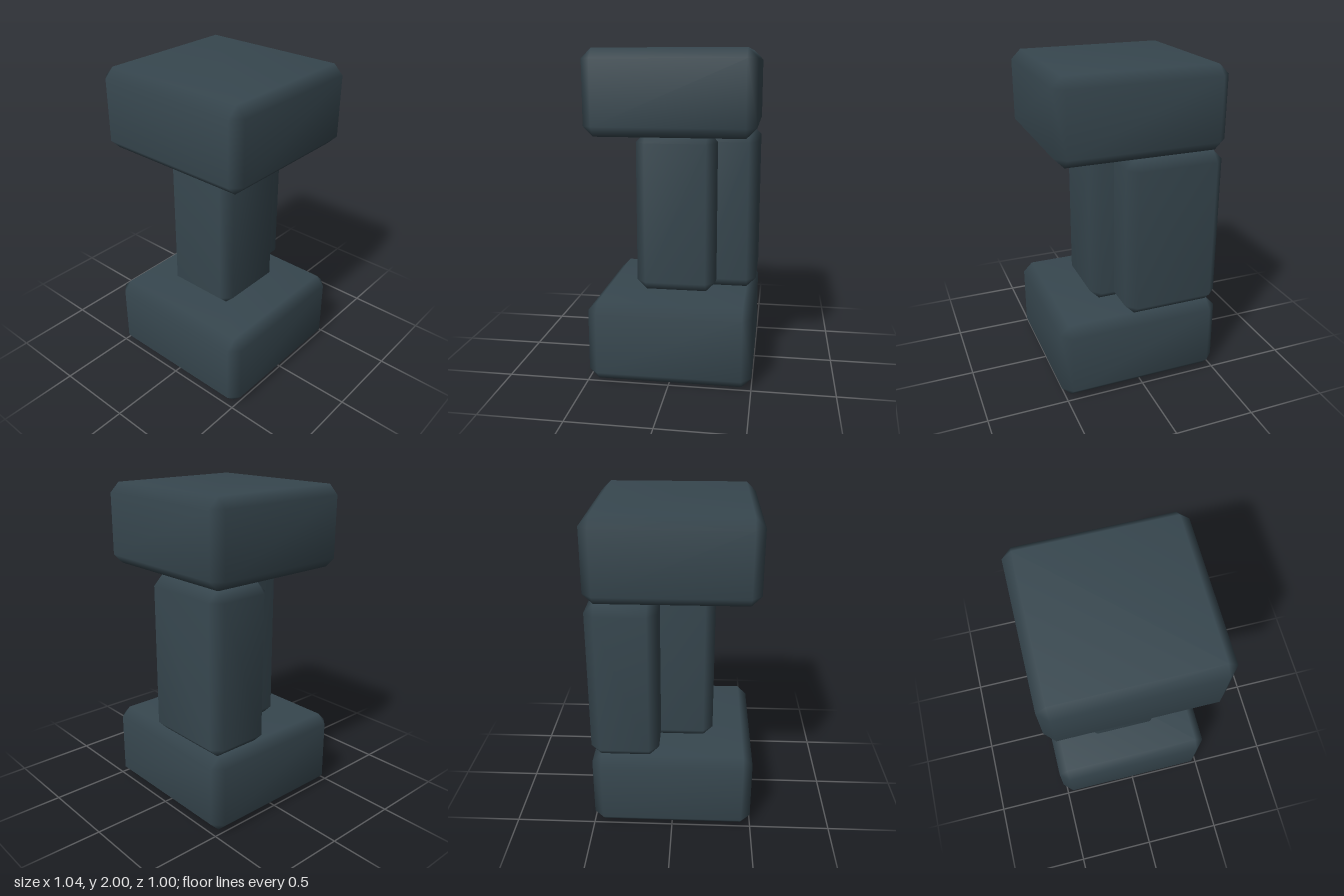
import * as THREE from 'three';
import { ConvexGeometry } from 'three/addons/geometries/ConvexGeometry.js';
import { mergeVertices } from 'three/addons/utils/BufferGeometryUtils.js';

const BEVEL = 0.06;

// Box with chamfered edges and softly blended normals
function bevelledBox(w, h, d) {
  const half = [w / 2, h / 2, d / 2];
  const points = [];
  for (const sx of [-1, 1]) for (const sy of [-1, 1]) for (const sz of [-1, 1]) {
    for (let outer = 0; outer < 3; outer++) {
      const p = half.map((v, i) => (i === outer ? v : v - BEVEL));
      points.push(new THREE.Vector3(p[0] * sx, p[1] * sy, p[2] * sz));
    }
  }
  const hull = new ConvexGeometry(points);
  hull.deleteAttribute('normal');
  const geometry = mergeVertices(hull, 1e-4);
  geometry.computeVertexNormals();
  return geometry;
}

export function createModel() {
  const group = new THREE.Group();
  const stone = new THREE.MeshStandardMaterial({ color: 0x37474f });
  stone.name = 'slateStone';

  // Adds a block from its lower and upper corners
  function addBlock(name, [x0, y0, z0], [x1, y1, z1]) {
    const mesh = new THREE.Mesh(bevelledBox(x1 - x0, y1 - y0, z1 - z0), stone);
    mesh.name = name;
    mesh.position.set((x0 + x1) / 2, (y0 + y1) / 2, (z0 + z1) / 2);
    group.add(mesh);
  }

  // Wide slabs at the foot and head
  addBlock('baseSlab', [-0.52, 0, -0.5], [0.52, 0.5, 0.5]);
  addBlock('topSlab', [-0.52, 1.5, -0.5], [0.52, 2, 0.5]);

  // Two overlapping upright blocks between the slabs
  addBlock('frontColumn', [-0.26, 0.5, -0.25], [0.24, 1.5, 0.25]);
  addBlock('backColumn', [-0.51, 0.5, -0.5], [0.1, 1.5, -0.08]);

  return group;
}
